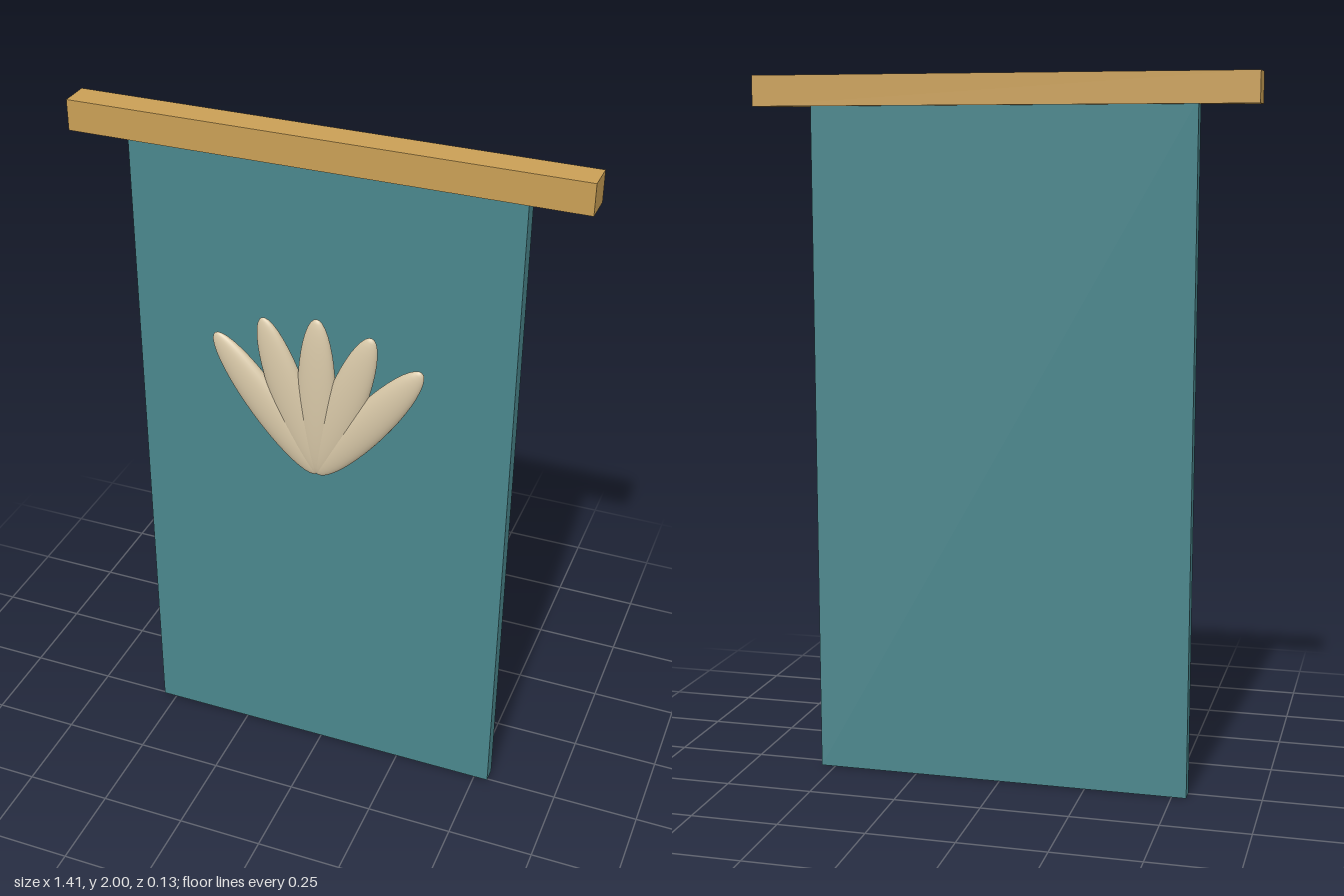
import * as THREE from 'three';

const teal = new THREE.MeshStandardMaterial({ color: 0x4a868c });
const wood = new THREE.MeshStandardMaterial({ color: 0xc99f55 });
const cream = new THREE.MeshStandardMaterial({ color: 0xd6c6a6 });

function box(name, material, size, position) {
  const mesh = new THREE.Mesh(new THREE.BoxGeometry(...size), material);
  mesh.name = name;
  mesh.position.set(...position);
  return mesh;
}

export function createModel() {
  const model = new THREE.Group();
  model.name = 'wallBanner';

  // Hanging cloth and the square rod that holds it
  model.add(box('cloth', teal, [1.083, 1.93, 0.043], [0, 0.965, -0.017]));
  model.add(box('rod', wood, [1.41, 0.085, 0.085], [0, 1.9575, -0.02]));

  // Fan of five flattened petals sharing one base point
  const fan = new THREE.Group();
  fan.name = 'petalFan';
  fan.position.set(0, 1.01, 0.037);
  const half = 0.245;
  const petalShape = new THREE.SphereGeometry(1, 32, 20)
    .scale(0.055, half, 0.026)
    .translate(0, half, 0);
  for (let i = -2; i <= 2; i++) {
    const petal = new THREE.Mesh(petalShape, cream);
    petal.name = 'petal';
    petal.rotation.z = -i * 0.325;
    fan.add(petal);
  }
  model.add(fan);
  return model;
}
